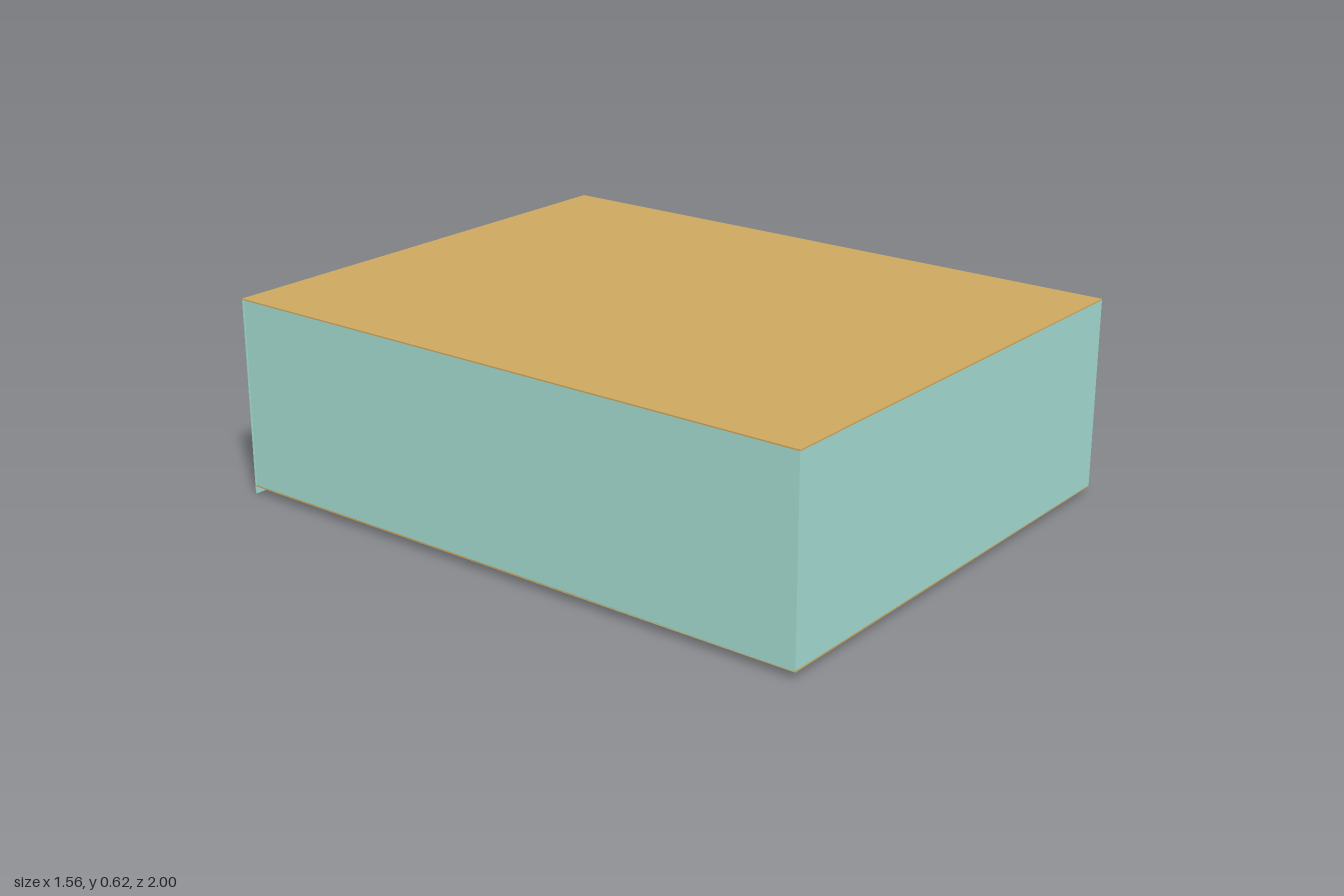
import * as THREE from 'three';

const mat = (color) => new THREE.MeshStandardMaterial({ color, side: THREE.DoubleSide });

export function createModel() {
  const model = new THREE.Group();
  const teal = mat(0xa3dcd2), tan = mat(0xcda85f), olive = mat(0xb5ad40), grey = mat(0xcccccc);

  const add = (name, geometry, material, x, y, z) => {
    const mesh = new THREE.Mesh(geometry, material);
    mesh.name = name;
    mesh.position.set(x, y, z);
    model.add(mesh);
    return mesh;
  };
  // Box given by its lower and upper corners
  const block = (name, material, [x0, y0, z0], [x1, y1, z1]) =>
    add(name, new THREE.BoxGeometry(x1 - x0, y1 - y0, z1 - z0), material,
      (x0 + x1) / 2, (y0 + y1) / 2, (z0 + z1) / 2);

  const W = 0.78, TOP = 0.62, FLOOR = 0.025, PITCH = 0.2475;
  const laneFront = 0.54, laneBack = -0.935, pitBack = -0.985;
  const centres = [-2, -1, 0, 1, 2].map((i) => i * PITCH);

  // Hall shell: the back wall runs down to the ground
  block('roof', tan, [-W, TOP - 0.004, -1], [W, TOP, 1]);
  block('frontWall', teal, [-W, FLOOR, 0.996], [W, TOP - 0.004, 1]);
  block('backWall', teal, [-W, 0, -1], [W, TOP - 0.004, -0.996]);
  for (const s of [-1, 1]) {
    const inner = s * (W - 0.004), outer = s * W;
    block(s > 0 ? 'leftWall' : 'rightWall', teal,
      [Math.min(inner, outer), FLOOR, -0.992], [Math.max(inner, outer), TOP - 0.004, 0.996]);
  }
  // Board lining the inside of the back wall
  block('backBoard', tan, [-W + 0.005, FLOOR, -0.996], [W - 0.005, 0.47, -0.993]);

  // Floor with one slot per lane; the end of each slot is an open pit
  const outline = (x0, x1, z0, z1) => [[x0, z0], [x1, z0], [x1, z1], [x0, z1]]
    .map(([x, z]) => new THREE.Vector2(x, -z));
  const floorShape = new THREE.Shape(outline(-W, W, 1, -0.996));
  for (const c of centres)
    floorShape.holes.push(new THREE.Path(outline(c - 0.1, c + 0.1, laneFront, pitBack).reverse()));
  const floorGeometry = new THREE.ExtrudeGeometry(floorShape, { depth: 0.005, bevelEnabled: false });
  floorGeometry.rotateX(-Math.PI / 2);
  add('floor', floorGeometry, tan, 0, FLOOR - 0.002, 0);

  // Lanes with a round gutter along each side
  const length = laneFront - laneBack, middle = (laneFront + laneBack) / 2;
  const gutterGeometry = new THREE.CylinderGeometry(0.0225, 0.0225, length, 12, 1, true, -Math.PI / 2, Math.PI);
  gutterGeometry.rotateX(Math.PI / 2).scale(1, 0.6, 1);
  for (const c of centres) {
    block('lane', tan, [c - 0.055, 0.012, laneBack], [c + 0.055, 0.022, laneFront]);
    for (const s of [-1, 1]) add('gutter', gutterGeometry, olive, c + s * 0.0775, 0.024, middle);
  }

  // Small blocks closing the gaps between lanes at their front end
  for (let i = 0; i < 6; i++) {
    const x = (i - 2.5) * PITCH;
    const x0 = Math.max(x - 0.022, -0.615), x1 = Math.min(x + 0.022, 0.615);
    block('divider', grey, [x0, 0.012, laneFront - 0.01], [x1, FLOOR - 0.002, laneFront]);
  }
  return model;
}
